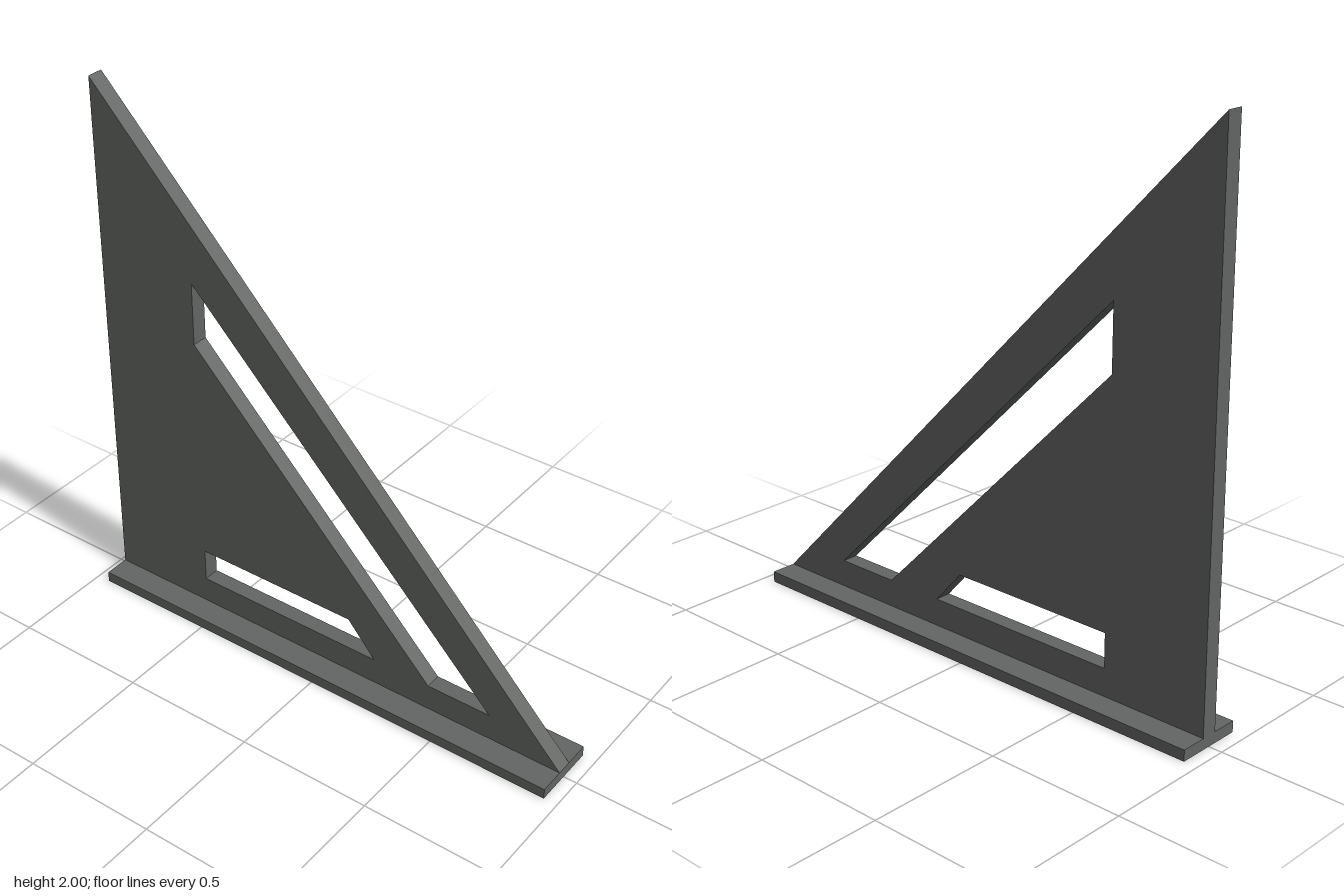
import * as THREE from 'three';

const W = 0.95;            // half length
const BASE_H = 0.04;       // fence height
const BASE_D = 0.25;       // fence depth
const BLADE_T = 0.06;      // blade thickness

const points = (list) => list.map(([x, y]) => new THREE.Vector2(x, y));

export function createModel() {
  const group = new THREE.Group();
  group.name = 'triangleSquare';

  const metal = new THREE.MeshStandardMaterial({ color: 0x626563 });
  metal.name = 'darkGreyMetal';

  // Fence along the bottom edge
  const fence = new THREE.Mesh(new THREE.BoxGeometry(2 * W, BASE_H, BASE_D), metal);
  fence.name = 'fence';
  fence.position.y = BASE_H / 2;
  group.add(fence);

  // Right-angled blade with two cut-outs
  const outline = new THREE.Shape(points([[-W, BASE_H], [W, BASE_H], [-W, 2]]));
  const diagonalSlot = [[-0.555, 1.37], [-0.555, 1.135], [0.425, 0.14], [0.67, 0.14]];
  const lowerSlot = [[-0.55, 0.265], [-0.55, 0.14], [0.2, 0.14], [0.09, 0.265]];
  for (const slot of [diagonalSlot, lowerSlot]) {
    outline.holes.push(new THREE.Path(points(slot)));
  }
  const bladeGeometry = new THREE.ExtrudeGeometry(outline, { depth: BLADE_T, bevelEnabled: false });
  bladeGeometry.translate(0, 0, -BLADE_T / 2);
  const blade = new THREE.Mesh(bladeGeometry, metal);
  blade.name = 'blade';
  group.add(blade);

  return group;
}
